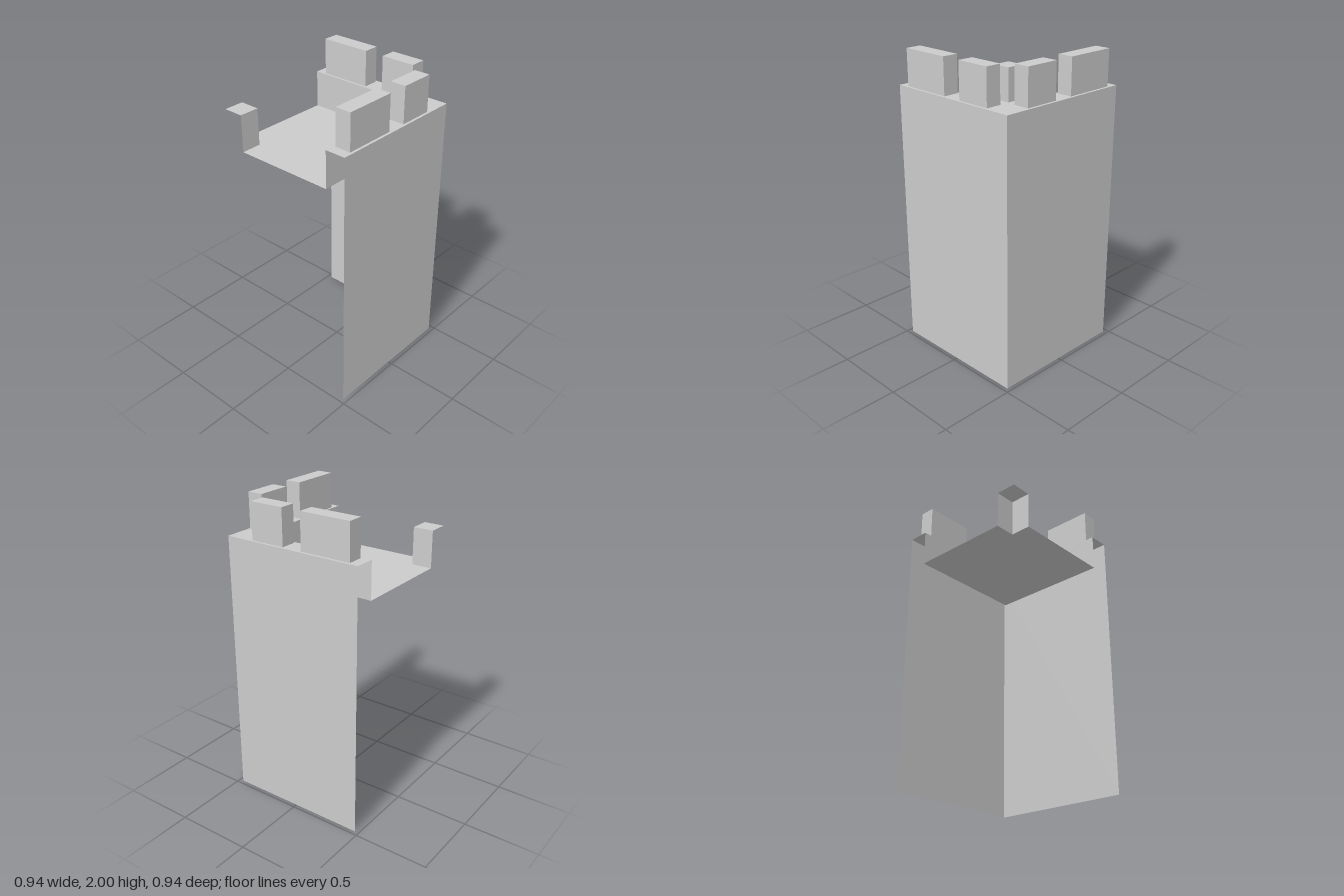
import * as THREE from 'three';

const H = 0.472;      // half width of the tower
const IN = 0.337;     // inner line of the parapet
const RIM = 1.765;    // height of the parapet
const FLOOR = 1.522;  // height of the roof deck
const TOP = 2;        // height of the merlons

export function createModel() {
  const tower = new THREE.Group();
  tower.name = 'towerCorner';
  const material = new THREE.MeshStandardMaterial({
    color: 0xcccccc, flatShading: true, side: THREE.DoubleSide,
  });

  const add = (name, geometry) => {
    const mesh = new THREE.Mesh(geometry, material);
    mesh.name = name;
    tower.add(mesh);
  };

  // Horizontal sheet from [x, z] corners at height y
  const sheet = (name, corners, y) => {
    const shape = new THREE.Shape(corners.map(([x, z]) => new THREE.Vector2(x, -z)));
    add(name, new THREE.ShapeGeometry(shape).rotateX(-Math.PI / 2).translate(0, y, 0));
  };

  // Upright sheet along one axis from a to b at depth d; swapped trades x and z
  const wall = (name, a, b, d, y0, y1, swapped, inward) => {
    const g = new THREE.PlaneGeometry(b - a, y1 - y0);
    if (inward) g.rotateY(Math.PI);
    if (swapped) g.rotateY(Math.PI / 2);
    const mid = (a + b) / 2, y = (y0 + y1) / 2;
    add(name, swapped ? g.translate(d, y, mid) : g.translate(mid, y, d));
  };

  // The two sides mirror each other across the diagonal x = z
  for (const swapped of [false, true]) {
    const side = swapped ? 'right' : 'front';
    wall(side + 'Wall', -H, H, H, 0, RIM, swapped, false);
    wall(side + 'ParapetInside', -H, IN, IN, FLOOR, RIM, swapped, true);
    wall(side + 'PostFace', -H, -IN, -IN, FLOOR, RIM, swapped, false);

    // Merlons standing on the parapet
    for (const [a, b] of [[-0.407, -0.068], [0.064, 0.294]]) {
      const len = b - a, h = TOP - RIM, t = 0.104, d = 0.403;
      const g = new THREE.BoxGeometry(swapped ? t : len, h, swapped ? len : t);
      const mid = (a + b) / 2, y = (RIM + TOP) / 2;
      add(side + 'Merlon', swapped ? g.translate(d, y, mid) : g.translate(mid, y, d));
    }
  }

  // L-shaped parapet top
  sheet('parapetTop', [[-H, H], [H, H], [H, -H], [IN, -H], [IN, IN], [-H, IN]], RIM);

  // Roof deck, notched around the corner post
  sheet('roofDeck', [[-H, IN], [IN, IN], [IN, -H], [-IN, -H], [-IN, -IN], [-H, -IN]], FLOOR);

  // Cap of the corner post
  sheet('postTop', [[-H, -IN], [-IN, -IN], [-IN, -H], [-H, -H]], RIM);

  return tower;
}
